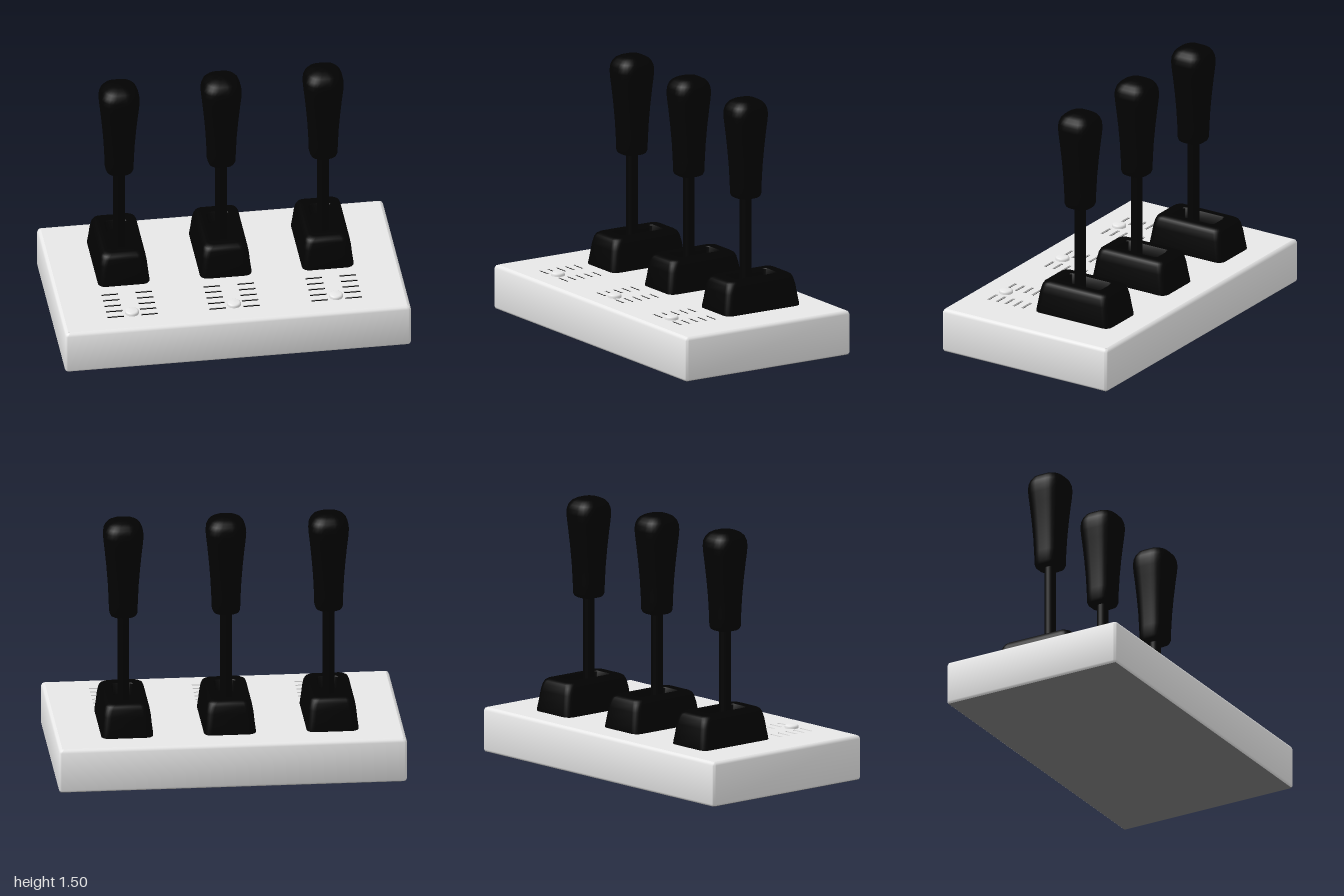
import * as THREE from 'three';
import { toCreasedNormals } from 'three/addons/utils/BufferGeometryUtils.js';

const mat = (name, color) => Object.assign(new THREE.MeshStandardMaterial({ color }), { name });

// Outline of a rounded rectangle in the xz plane
function ring(y, hx, hz, r, n = 6) {
  const pts = [];
  const signs = [[1, 1], [-1, 1], [-1, -1], [1, -1]];
  signs.forEach(([sx, sz], q) => {
    for (let i = 0; i <= n; i++) {
      const a = (q + i / n) * Math.PI / 2;
      pts.push(sx * (hx - r) + r * Math.cos(a), y, sz * (hz - r) + r * Math.sin(a));
    }
  });
  return pts;
}

// Skin a stack of rings; each section is [y, halfX, halfZ, cornerRadius]
function loft(sections, crease = 0.7) {
  const rings = sections.map(s => ring(...s));
  const n = rings[0].length / 3, index = [];
  for (let i = 0; i < rings.length - 1; i++) {
    for (let j = 0; j < n; j++) {
      const k = (j + 1) % n;
      const a = i * n + j, b = i * n + k, c = a + n, d = b + n;
      index.push(a, c, b, b, c, d);
    }
  }
  const g = new THREE.BufferGeometry();
  g.setAttribute('position', new THREE.Float32BufferAttribute(rings.flat(), 3));
  g.setIndex(index);
  return toCreasedNormals(g, crease);
}

function add(parent, name, geometry, material, x = 0, y = 0, z = 0) {
  const m = new THREE.Mesh(geometry, material);
  m.name = name;
  m.position.set(x, y, z);
  parent.add(m);
}

export function createModel() {
  const casing = mat('white casing', 0xf2f2f2);
  const black = mat('black plastic', 0x020202);
  const underside = mat('grey underside', 0x787878);
  const model = new THREE.Group();
  model.name = 'threeLeverController';

  const columns = [-0.59, 0, 0.59];
  const W = 1, D = 0.565, H = 0.26, e = 0.02;

  // Casing shell with softened edges, open where the top plate and underside sit
  add(model, 'casingShell', loft([
    [0.001, W - 0.012, D - 0.012, 0.012],
    [0.005, W - 0.004, D - 0.004, 0.018], [0.014, W, D, 0.02],
    [H - e, W, D, 0.02], [H - 0.006, W - 0.006, D - 0.006, 0.018],
    [H, W - e, D - e, 0.012],
  ], 0.9), casing);
  add(model, 'underside', new THREE.BoxGeometry(2 * W - 0.02, 0.004, 2 * D - 0.02), underside, 0, 0.002, 0);

  // Two columns of five vent slots in front of each lever
  const slots = [];
  for (const x of columns) {
    for (const side of [-1, 1]) {
      for (let i = 0; i < 5; i++) slots.push([x + side * 0.098, 0.187 + i * 0.058]);
    }
  }

  // Top plate pierced by the slots
  const outline = new THREE.Shape();
  const w = W - e, d = D - e;
  outline.moveTo(-w, -d).lineTo(w, -d).lineTo(w, d).lineTo(-w, d).closePath();
  for (const [x, z] of slots) {
    const hole = new THREE.Path();
    hole.moveTo(x - 0.048, -z - 0.008).lineTo(x - 0.048, -z + 0.008)
      .lineTo(x + 0.048, -z + 0.008).lineTo(x + 0.048, -z - 0.008).closePath();
    outline.holes.push(hole);
  }
  const plate = new THREE.ExtrudeGeometry(outline, { depth: 0.025, bevelEnabled: false });
  plate.rotateX(-Math.PI / 2);
  add(model, 'topPlate', plate, casing, 0, H - 0.025, 0);

  // Dark gap along the back of each slot
  const gap = new THREE.BoxGeometry(0.096, 0.008, 0.008);
  for (const [x, z] of slots) add(model, 'ventGap', gap, black, x, H - 0.008, z - 0.004);

  // Low rounded push button
  const button = new THREE.LatheGeometry([
    [0.04, -0.01], [0.04, 0.01], [0.037, 0.016], [0.03, 0.02], [0, 0.021],
  ].map(p => new THREE.Vector2(...p)), 24);

  // Boot: sloping sides, rounded shoulder, sunken slot for the lever
  const boot = loft([
    [0.25, 0.149, 0.255, 0.04], [0.272, 0.149, 0.255, 0.045],
    [0.32, 0.143, 0.247, 0.045], [0.38, 0.137, 0.238, 0.045],
    [0.42, 0.130, 0.228, 0.045], [0.438, 0.122, 0.219, 0.045],
    [0.448, 0.108, 0.203, 0.04], [0.45, 0.095, 0.19, 0.035],
    [0.45, 0.066, 0.145, 0.02], [0.445, 0.062, 0.141, 0.02],
    [0.38, 0.058, 0.137, 0.02], [0.38, 0, 0, 0],
  ]);

  // Grip: softly squared, flaring to a domed top
  const grip = loft([
    [0.91, 0], [0.91, 0.065], [0.916, 0.075], [0.932, 0.082], [1.0, 0.084],
    [1.1, 0.089], [1.2, 0.097], [1.3, 0.107], [1.36, 0.114], [1.4, 0.117],
    [1.43, 0.114], [1.455, 0.104], [1.473, 0.088], [1.486, 0.064],
    [1.493, 0.035], [1.496, 0],
  ].map(([y, h]) => [y, h * 0.975, h, h * 0.72]), 0.9);

  const stick = new THREE.CylinderGeometry(0.034, 0.034, 0.59, 24);
  const ventFloor = new THREE.BoxGeometry(0.32, 0.005, 0.28);

  columns.forEach((x, i) => {
    const lever = new THREE.Group();
    lever.name = ['rightLever', 'middleLever', 'leftLever'][i];
    lever.position.x = x;
    model.add(lever);
    add(lever, 'boot', boot, black, 0, 0, -0.148);
    add(lever, 'stick', stick, black, 0, 0.655, -0.115);
    add(lever, 'grip', grip, black, 0, 0, -0.115);
    add(lever, 'button', button, casing, 0, H, 0.393);
    // Floor seen through the vent slots
    add(lever, 'ventFloor', ventFloor, casing, 0, H - 0.015, 0.303);
  });
  return model;
}
